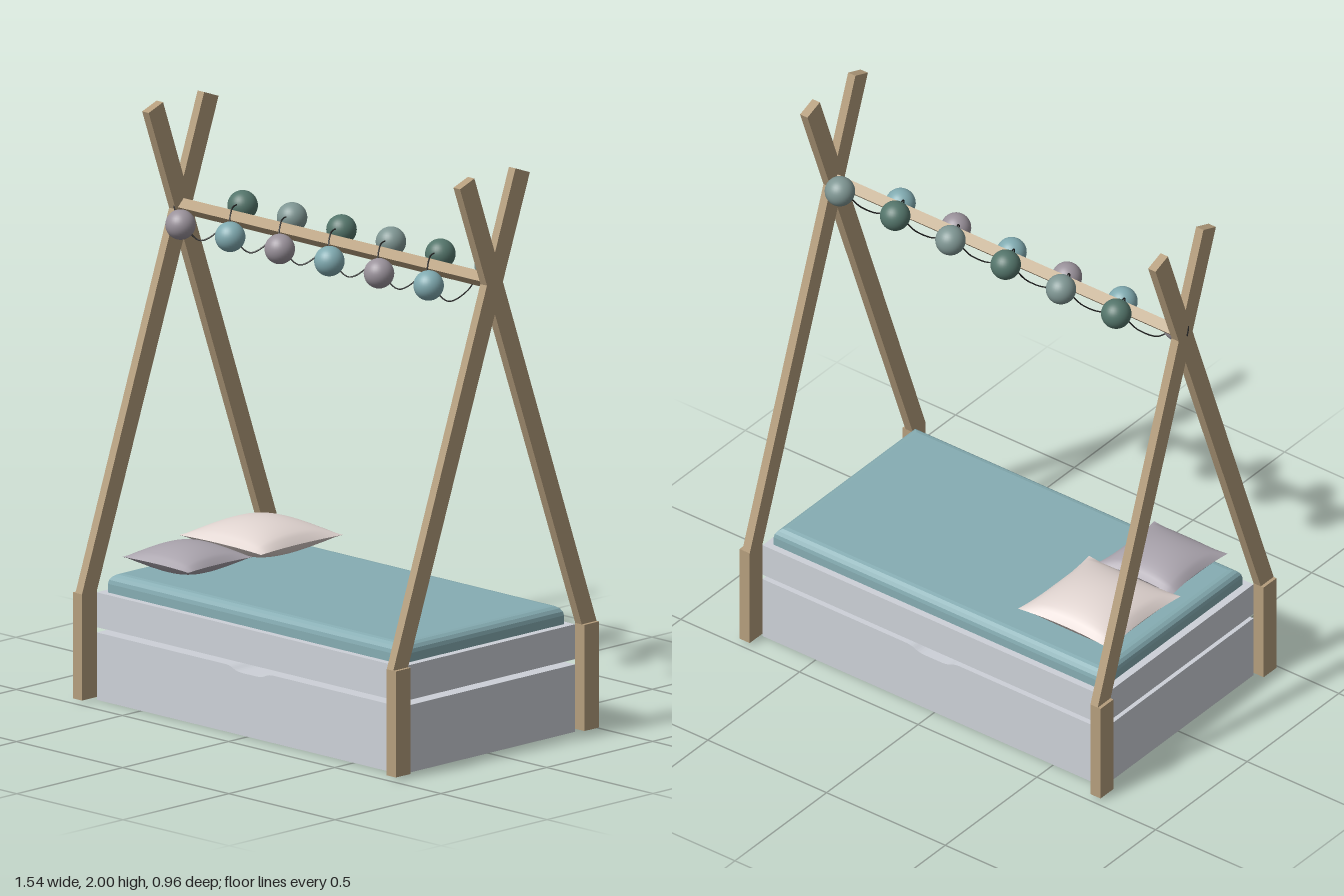
import * as THREE from 'three';

const mat = (color, extra = {}) => new THREE.MeshStandardMaterial({ color, ...extra });
const WOOD = mat(0xb59e7d), PANEL = mat(0xcdd1d8), TEAL = mat(0x86adb3), CORD = mat(0x222222);
const CX = 0.0075; // middle of the bed along x

function add(parent, name, geometry, material, x = 0, y = 0, z = 0) {
  const mesh = new THREE.Mesh(geometry, material);
  mesh.name = name;
  mesh.position.set(x, y, z);
  parent.add(mesh);
  return mesh;
}

function polygon(points) {
  return new THREE.Shape(points.map(([x, y]) => new THREE.Vector2(x, y)));
}

// Square cushion: two bulged sheets meeting in a seam with drawn-in sides
function pillowGeometry(width, depth, rise) {
  const sheet = (side) => {
    const g = new THREE.PlaneGeometry(2, 2, 20, 20);
    const p = g.attributes.position;
    for (let i = 0; i < p.count; i++) {
      const u = p.getX(i), v = p.getY(i);
      const bulge = Math.pow(Math.max(0, (1 - u * u) * (1 - v * v)), 0.6);
      p.setXYZ(i,
        u * width / 2 * (1 - 0.07 * (1 - v * v)),
        side * rise * bulge,
        -v * depth / 2 * (1 - 0.07 * (1 - u * u)));
    }
    if (side < 0) g.index.array.reverse();
    g.computeVertexNormals();
    return g;
  };
  return [sheet(1), sheet(-1)];
}

function addPillow(parent, name, color, x, y, z, width, depth, rise) {
  const pillow = new THREE.Group();
  pillow.name = name;
  pillow.position.set(x, y, z);
  const [top, bottom] = pillowGeometry(width, depth, rise);
  const cloth = mat(color, { side: THREE.DoubleSide });
  add(pillow, name + 'Top', top, cloth);
  add(pillow, name + 'Bottom', bottom, cloth);
  parent.add(pillow);
}

export function createModel() {
  const model = new THREE.Group();
  model.name = 'tentBed';

  // Drawer base with a finger notch in its upper edge
  const W = 0.7175, D = 0.41;
  const front = new THREE.Shape();
  front.moveTo(-W, 0);
  front.lineTo(W, 0);
  front.lineTo(W, 0.232);
  front.lineTo(0.11, 0.232);
  front.bezierCurveTo(0.07, 0.23, 0.08, 0.215, 0.03, 0.215);
  front.lineTo(-0.03, 0.215);
  front.bezierCurveTo(-0.08, 0.215, -0.07, 0.23, -0.11, 0.232);
  front.lineTo(-W, 0.232);
  add(model, 'drawer', new THREE.ExtrudeGeometry(front, { depth: 2 * D, bevelEnabled: false, curveSegments: 8 }),
    PANEL, CX, 0, -D);
  add(model, 'bedFrame', new THREE.BoxGeometry(2 * W, 0.12, 2 * D), PANEL, CX, 0.31, 0);

  // Mattress with rounded edges and mitred corners
  const b = 0.035, mx = 0.69 - b, mz = 0.385 - b;
  const mattress = new THREE.ExtrudeGeometry(polygon([[-mx, -mz], [mx, -mz], [mx, mz], [-mx, mz]]),
    { depth: 0.06, bevelSize: b, bevelThickness: b, bevelSegments: 4 });
  mattress.rotateX(-Math.PI / 2);
  add(model, 'mattress', mattress, TEAL, CX, 0.34, 0);

  // Corner posts and crossing poles at both ends
  const poleShape = polygon([[0.48, 0.375], [-0.097, 2.0], [-0.165, 1.975], [0.41, 0.375]]);
  for (const sx of [-1, 1]) {
    for (const sz of [-1, 1]) {
      const corner = (sz > 0 ? 'front' : 'back') + (sx > 0 ? 'Left' : 'Right');
      add(model, corner + 'Post', new THREE.BoxGeometry(0.043, 0.365, 0.07), WOOD,
        CX + sx * 0.739, 0.1925, sz * 0.445);
      const pole = new THREE.ExtrudeGeometry(
        polygon(poleShape.getPoints().map((p) => [p.x * sz, p.y])), { depth: 0.031, bevelEnabled: false });
      pole.rotateY(-Math.PI / 2); // shape x becomes z, thickness runs towards -x
      add(model, corner + 'Pole', pole, WOOD, CX + sx * 0.733 + 0.0155, 0, 0);
    }
  }

  // Ridge bar set on its edge
  const bar = add(model, 'ridgeBar', new THREE.BoxGeometry(2 * W, 0.038, 0.038), WOOD, CX, 1.626, 0);
  bar.rotation.x = Math.PI / 4;

  // Ball garland, with its cord wound round the bar
  const garland = new THREE.Group();
  garland.name = 'garland';
  model.add(garland);
  const ball = new THREE.SphereGeometry(0.051, 32, 20);
  const frontColors = [mat(0x9a929b), mat(0x80aab0)];
  const backColors = [mat(0x54756b), mat(0x7f9693)];
  const path = [[-0.77, 1.65, -0.03], [-0.745, 1.655, 0.01], [-0.70, 1.62, 0.05]];
  for (let i = 0; i < 6; i++) {
    const xf = -0.652 + i * 0.2337, xb = -0.504 + i * 0.2328;
    add(garland, 'frontBall', ball, frontColors[i % 2], xf, 1.585, 0.073);
    add(garland, 'backBall', ball, backColors[i % 2], xb, 1.652, -0.072);
    path.push([xf, 1.585, 0.06], [xf + 0.06, 1.535, 0.04], [xf + 0.10, 1.57, -0.01],
      [xf + 0.115, 1.63, -0.055], [xb, 1.655, -0.07]);
    if (i < 5) path.push([xb + 0.025, 1.662, 0], [xb + 0.055, 1.615, 0.045]);
  }
  const curve = new THREE.CatmullRomCurve3(path.map((p) => new THREE.Vector3(...p)));
  add(garland, 'cord', new THREE.TubeGeometry(curve, 300, 0.0025, 6), CORD);

  // Pillows at the right-hand end
  addPillow(model, 'largePillow', 0xe0d4d0, -0.488, 0.508, -0.143, 0.386, 0.388, 0.063);
  addPillow(model, 'smallPillow', 0xa9a3ac, -0.487, 0.495, 0.205, 0.31, 0.305, 0.05);

  return model;
}
